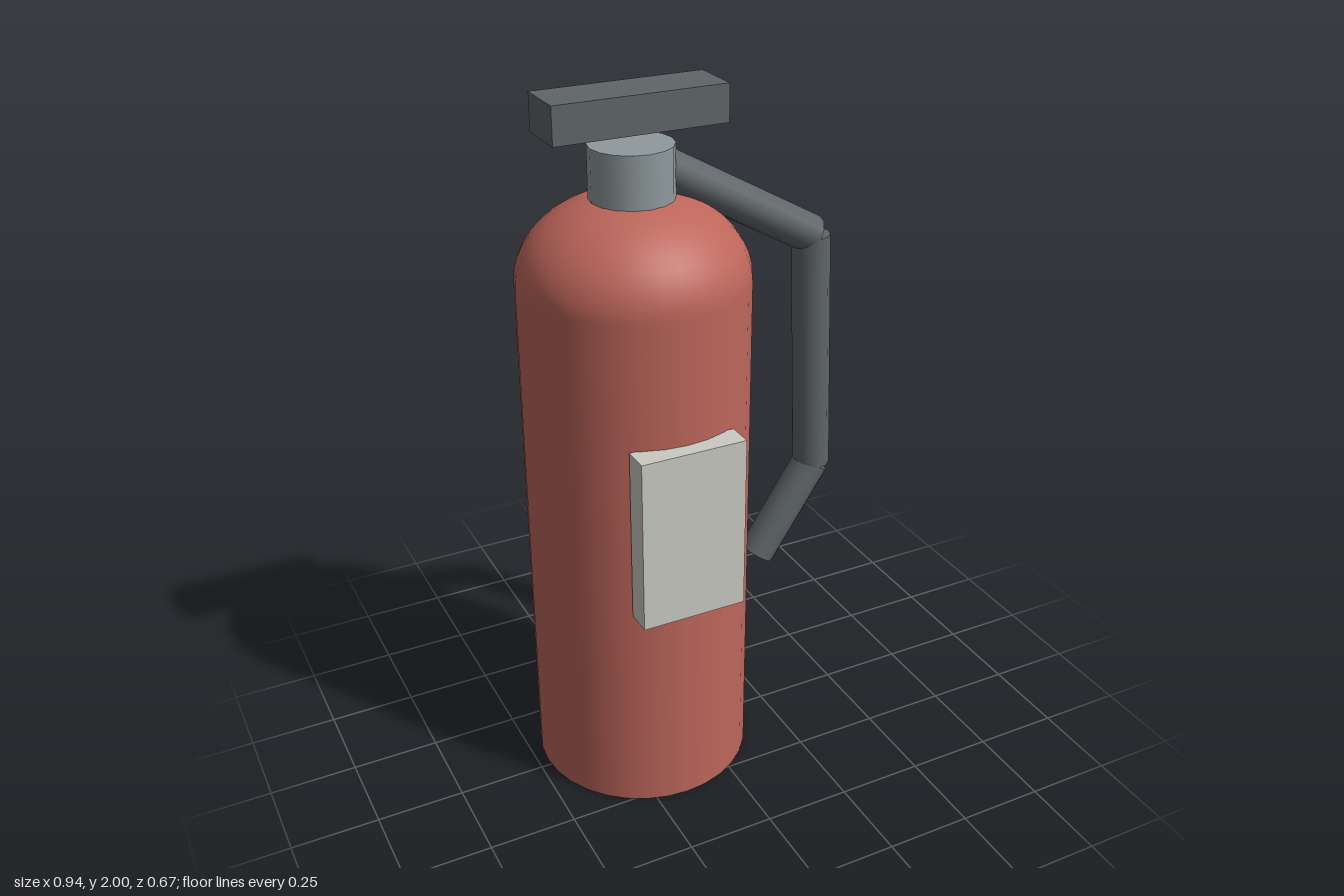
import * as THREE from 'three';

export function createModel() {
  const model = new THREE.Group();
  const mat = (name, color) => {
    const m = new THREE.MeshStandardMaterial({ color });
    m.name = name;
    return m;
  };
  const red = mat('red paint', 0xbd665b);
  const steel = mat('grey steel', 0x8f9a9c);
  const dark = mat('dark rubber', 0x5f6568);
  const cream = mat('label cream', 0xcbcbc3);

  const add = (name, geometry, material, x, y, z) => {
    const mesh = new THREE.Mesh(geometry, material);
    mesh.name = name;
    mesh.position.set(x, y, z);
    model.add(mesh);
    return mesh;
  };

  const cx = -0.157, cz = -0.023, radius = 0.313;

  // Tank with a flattened dome
  add('tank', new THREE.CylinderGeometry(radius, radius, 1.5, 32), red, cx, 0.75, cz);
  const dome = add('dome',
    new THREE.SphereGeometry(radius, 32, 12, 0, Math.PI * 2, 0, Math.PI / 2), red, cx, 1.5, cz);
  dome.scale.y = 0.75;

  // Valve neck and the lever above it
  add('neck', new THREE.CylinderGeometry(0.113, 0.113, 0.16, 16), steel, cx, 1.78, cz);
  add('handle', new THREE.BoxGeometry(0.478, 0.1, 0.15), dark, cx, 1.95, cz);

  // Front label
  add('label', new THREE.BoxGeometry(0.3, 0.5, 0.074), cream, cx, 0.9, 0.297);

  // Hose made of straight capped sections
  const path = [[-0.07, 1.787], [0.381, 1.532], [0.412, 0.812], [0.233, 0.54]]
    .map(([x, y]) => new THREE.Vector3(x, y, cz));
  const up = new THREE.Vector3(0, 1, 0);
  for (let i = 0; i < path.length - 1; i++) {
    const dir = path[i].clone().sub(path[i + 1]);
    const mid = path[i].clone().lerp(path[i + 1], 0.5);
    const section = add(`hoseSection${i + 1}`,
      new THREE.CylinderGeometry(0.054, 0.054, dir.length(), 12), dark, mid.x, mid.y, mid.z);
    section.quaternion.setFromUnitVectors(up, dir.normalize());
  }

  return model;
}
